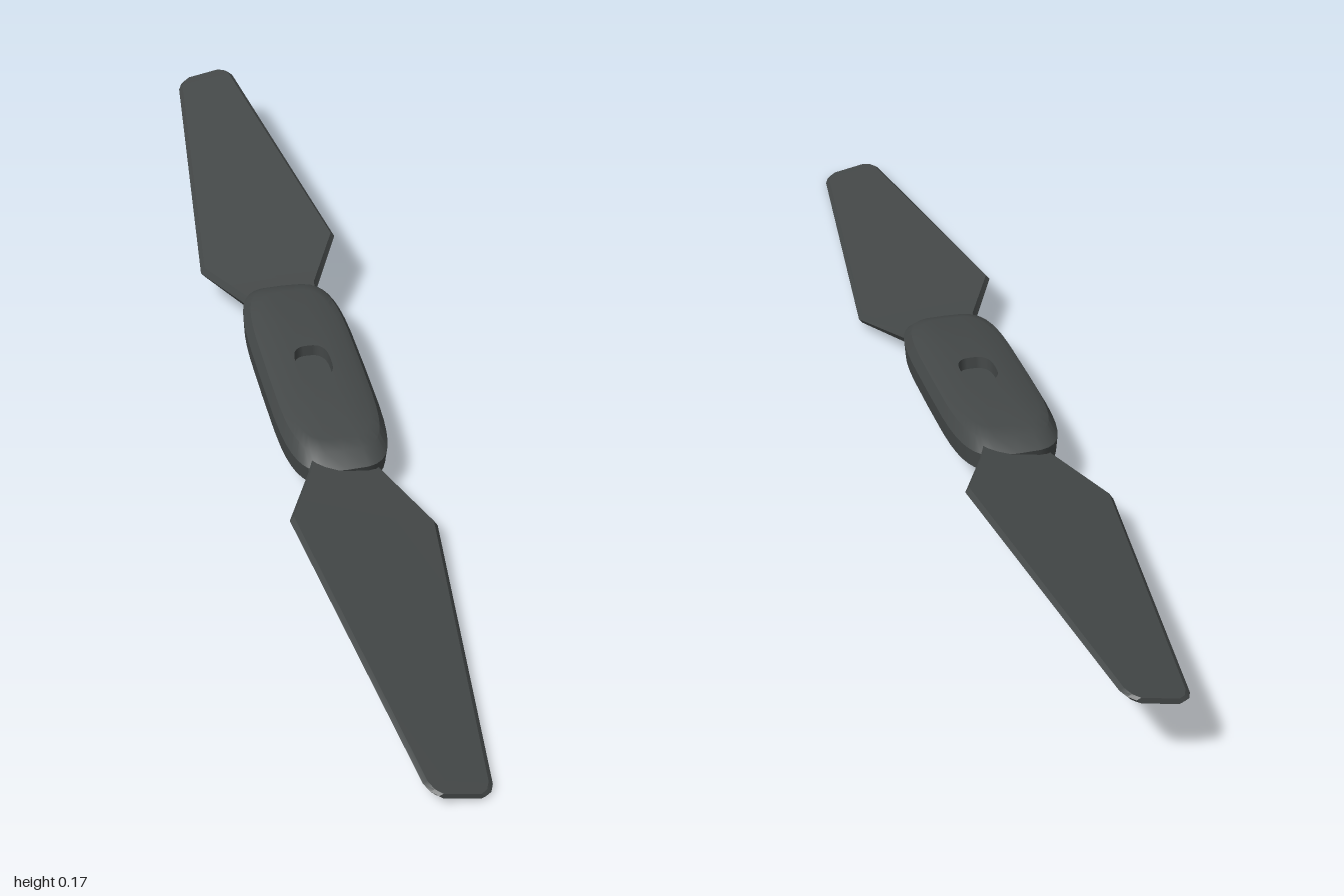
import * as THREE from 'three';
import { toCreasedNormals } from 'three/addons/utils/BufferGeometryUtils.js';

const material = new THREE.MeshStandardMaterial({ color: 0x444848 });

// Skin a closed solid over a series of rings (arrays of Vector3 of equal length)
function loft(rings, crease) {
  const pos = [];
  const tri = (...pts) => pts.forEach((p) => pos.push(p.x, p.y, p.z));
  const n = rings[0].length;
  const centre = (ring) => ring.reduce((s, p) => s.add(p), new THREE.Vector3()).divideScalar(n);
  const first = rings[0], last = rings[rings.length - 1];
  const c0 = centre(first), c1 = centre(last);
  for (let i = 0; i < n; i++) {
    const j = (i + 1) % n;
    for (let r = 0; r < rings.length - 1; r++) {
      const a = rings[r], b = rings[r + 1];
      tri(a[i], b[i], b[j]);
      tri(a[i], b[j], a[j]);
    }
    tri(c0, first[i], first[j]);
    tri(c1, last[j], last[i]);
  }
  const geo = new THREE.BufferGeometry();
  geo.setAttribute('position', new THREE.Float32BufferAttribute(pos, 3));
  return toCreasedNormals(geo, crease);
}

// Rounded-rectangle ring at height y
function roundedRing(y, halfLength, halfWidth, power = 4, n = 40) {
  const soft = (v) => Math.sign(v) * Math.abs(v) ** (2 / power);
  return Array.from({ length: n }, (_, i) => {
    const a = (i / n) * Math.PI * 2;
    return new THREE.Vector3(halfLength * soft(Math.cos(a)), y, halfWidth * soft(Math.sin(a)));
  });
}

// Hub: bevelled block with a shallow recess in the top
function hubGeometry() {
  return loft([
    roundedRing(-0.048, 0.25, 0.074),
    roundedRing(-0.04, 0.275, 0.09),
    roundedRing(-0.02, 0.31, 0.106),
    roundedRing(0.018, 0.318, 0.108),
    roundedRing(0.04, 0.285, 0.096),
    roundedRing(0.048, 0.255, 0.08),
    roundedRing(0.05, 0.055, 0.036, 2.8),
    roundedRing(0.025, 0.055, 0.036, 2.8),
  ], 0.5);
}

// Blade: thin pitched sections [distance, half width, thickness]
function bladeGeometry() {
  const pitch = 0.2;
  const sections = [
    [0.24, 0.068, 0.034],
    [0.305, 0.075, 0.03],
    [0.462, 0.146, 0.022],
    [1.185, 0.063, 0.013],
    [1.205, 0.055, 0.012],
    [1.216, 0.042, 0.011],
  ];
  return loft(sections.map(([x, w, t]) => {
    const e = w - 0.008, h = t / 2;
    return [[w, 0], [e, h], [-e, h], [-w, 0], [-e, -h], [e, -h]]
      .map(([z, y]) => new THREE.Vector3(x, y + pitch * z, z));
  }), 0.4);
}

export function createModel() {
  const model = new THREE.Group();
  model.name = 'propeller';

  // Whole propeller turned in plan and tipped slightly along its length
  const rotor = new THREE.Group();
  rotor.name = 'rotor';
  rotor.rotation.set(0, -0.927, -0.058, 'YXZ');
  rotor.position.y = 0.086;
  model.add(rotor);

  const hub = new THREE.Mesh(hubGeometry(), material);
  hub.name = 'hub';
  rotor.add(hub);

  // Two identical blades, half a turn apart
  const geo = bladeGeometry();
  ['frontBlade', 'rearBlade'].forEach((name, i) => {
    const blade = new THREE.Mesh(geo, material);
    blade.name = name;
    blade.rotation.y = i * Math.PI;
    rotor.add(blade);
  });

  return model;
}
